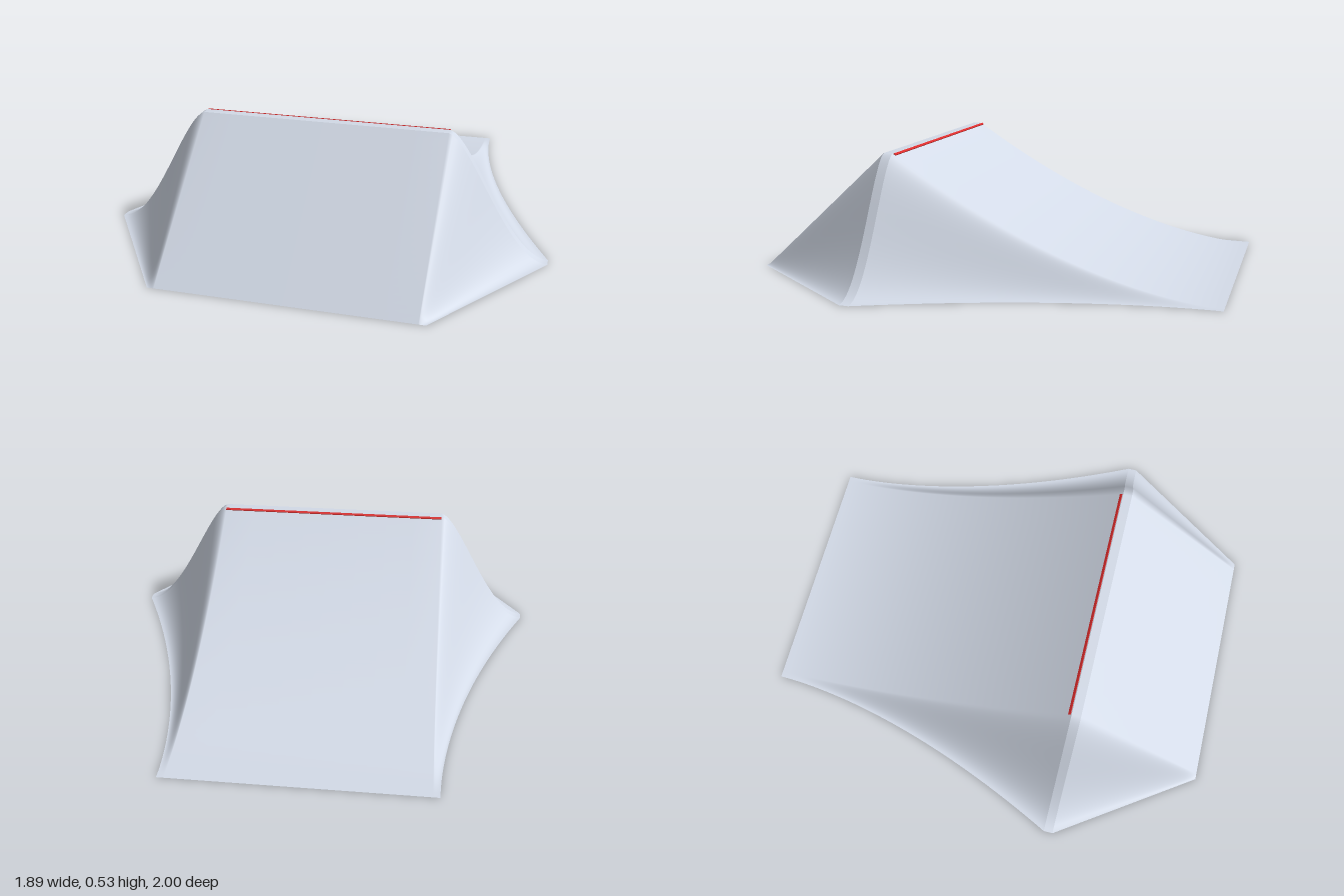
import * as THREE from 'three';

const HEIGHT = 0.53, CREST_FRONT = 0.42, CREST_BACK = 0.38;
const DECK_HALF = 0.52, SKIRT_MIN = 0.028, SKIRT_GROW = 0.395;

// Share of full height along the length: straight face, short crest, hollow run-out
function rise(z) {
  if (z > CREST_FRONT) return (1 - z) / (1 - CREST_FRONT);
  if (z > CREST_BACK) return 1;
  return Math.pow(Math.max(0, (z + 1) / (1 + CREST_BACK)), 1.72);
}

// S-shaped fall of the side skirts, t from 0 at the deck to 1 at the ground
function fall(t) {
  const s = Math.pow(t, 0.82);
  return 1 - s * s * (3 - 2 * s);
}

// One lengthwise section of the shell, lofted from zFrom (front) to zTo (back)
function shellSection(zFrom, zTo, rows) {
  const skirtSteps = 28, deckSteps = 8;
  const columns = [];
  for (let i = skirtSteps; i > 0; i--) columns.push([-1, i / skirtSteps]);
  for (let i = 0; i <= deckSteps; i++) columns.push([(2 * i) / deckSteps - 1, 0]);
  for (let i = 1; i <= skirtSteps; i++) columns.push([1, i / skirtSteps]);

  const positions = [], indices = [], n = columns.length;
  for (let r = 0; r <= rows; r++) {
    const z = THREE.MathUtils.lerp(zFrom, zTo, r / rows);
    const k = rise(z);
    const skirt = SKIRT_MIN + SKIRT_GROW * k;
    for (const [side, t] of columns) {
      positions.push(side * DECK_HALF + Math.sign(side) * t * skirt, HEIGHT * k * fall(t), z);
    }
  }
  for (let r = 0; r < rows; r++) {
    for (let c = 0; c < n - 1; c++) {
      const a = r * n + c, b = a + 1, d = a + n, e = d + 1;
      indices.push(a, b, e, a, e, d);
    }
  }
  const geometry = new THREE.BufferGeometry();
  geometry.setAttribute('position', new THREE.Float32BufferAttribute(positions, 3));
  geometry.setIndex(indices);
  geometry.computeVertexNormals();
  return geometry;
}

export function createModel() {
  const snow = new THREE.MeshStandardMaterial({ color: 0xe6eefc, side: THREE.DoubleSide });
  snow.name = 'snow white';
  const red = new THREE.MeshStandardMaterial({ color: 0xd92b2b });
  red.name = 'marker red';

  const model = new THREE.Group();
  model.name = 'snowJump';

  // Open-bottomed snow shell
  const sections = [
    ['frontFace', 1, CREST_FRONT, 24],
    ['crest', CREST_FRONT, CREST_BACK, 2],
    ['backSlope', CREST_BACK, -1, 48],
  ];
  for (const [name, from, to, rows] of sections) {
    const mesh = new THREE.Mesh(shellSection(from, to, rows), snow);
    mesh.name = name;
    model.add(mesh);
  }

  // Thin painted line just behind the crest
  const line = new THREE.Mesh(new THREE.BoxGeometry(1.04, 0.008, 0.011), red);
  line.name = 'edgeLine';
  const z = 0.372;
  line.position.set(0, HEIGHT * rise(z), z);
  line.rotation.x = -Math.atan2(HEIGHT * 1.72, 1 + CREST_BACK);
  model.add(line);

  return model;
}
